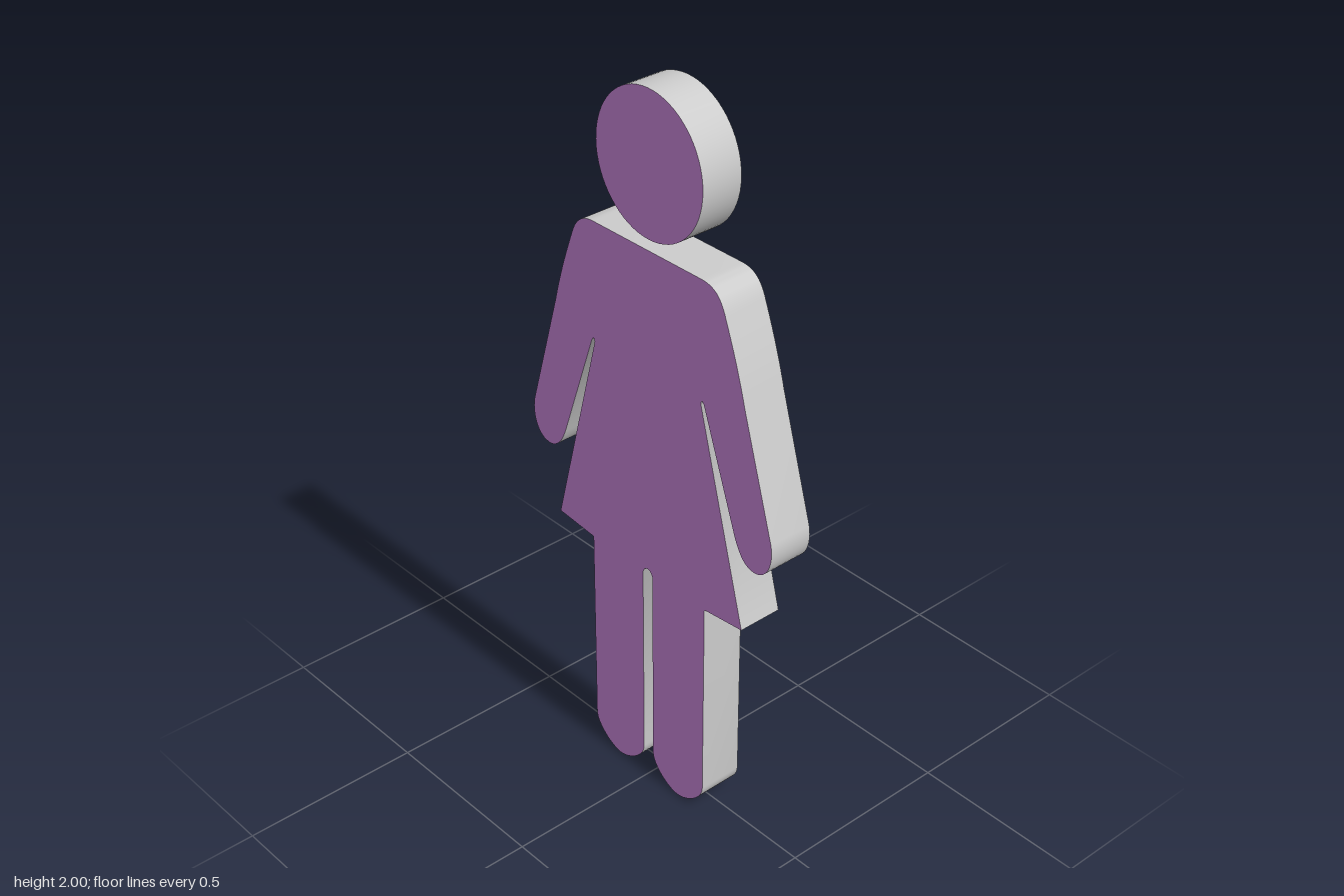
import * as THREE from 'three';
import { toCreasedNormals } from 'three/addons/utils/BufferGeometryUtils.js';

const BACK = -0.063;

export function createModel() {
  const model = new THREE.Group();
  model.name = 'figureSign';

  const purple = new THREE.MeshStandardMaterial({ color: 0xc080d0 });
  purple.name = 'purpleFace';
  const grey = new THREE.MeshStandardMaterial({ color: 0xcccccc });
  grey.name = 'paleGreyEdge';

  // Flat plate with purple faces and a grey rim
  function plate(name, points, depth) {
    const geometry = new THREE.ExtrudeGeometry(new THREE.Shape(points), {
      depth, bevelEnabled: false, steps: 1,
    });
    geometry.translate(0, 0, BACK);
    const mesh = new THREE.Mesh(toCreasedNormals(geometry, 0.6), [purple, grey]);
    mesh.name = name;
    model.add(mesh);
  }

  // Left half of the body outline, from the neck down to the crotch
  const half = new THREE.Path();
  half.moveTo(0, 1.595);
  half.lineTo(0.19, 1.595);
  half.bezierCurveTo(0.235, 1.595, 0.258, 1.575, 0.275, 1.525); // shoulder
  half.quadraticCurveTo(0.318, 1.415, 0.342, 1.32); // sleeve
  half.lineTo(0.441, 0.985);
  half.bezierCurveTo(0.452, 0.94, 0.435, 0.876, 0.385, 0.876); // hand
  half.bezierCurveTo(0.35, 0.876, 0.33, 0.91, 0.315, 0.95);
  half.lineTo(0.204, 1.264);
  half.quadraticCurveTo(0.196, 1.278, 0.193, 1.262); // armpit
  half.lineTo(0.347, 0.681); // skirt
  half.lineTo(0.213, 0.668);
  half.lineTo(0.213, 0.085); // leg
  half.bezierCurveTo(0.213, 0.045, 0.155, 0, 0.115, 0); // foot
  half.bezierCurveTo(0.075, 0, 0.018, 0.045, 0.018, 0.085);
  half.lineTo(0.018, 0.66);
  half.quadraticCurveTo(0.013, 0.678, 0, 0.678);

  // Mirror the half outline to close the shape
  const left = half.getPoints(12);
  const right = left.slice(1, -1).reverse().map((p) => new THREE.Vector2(-p.x, p.y));
  plate('body', [...left, ...right], 0.126);

  // Head: slightly tall disc, a touch thinner than the body
  const head = new THREE.EllipseCurve(0, 1.809, 0.185, 0.191).getPoints(64).slice(0, -1);
  plate('head', head, 0.118);

  return model;
}
